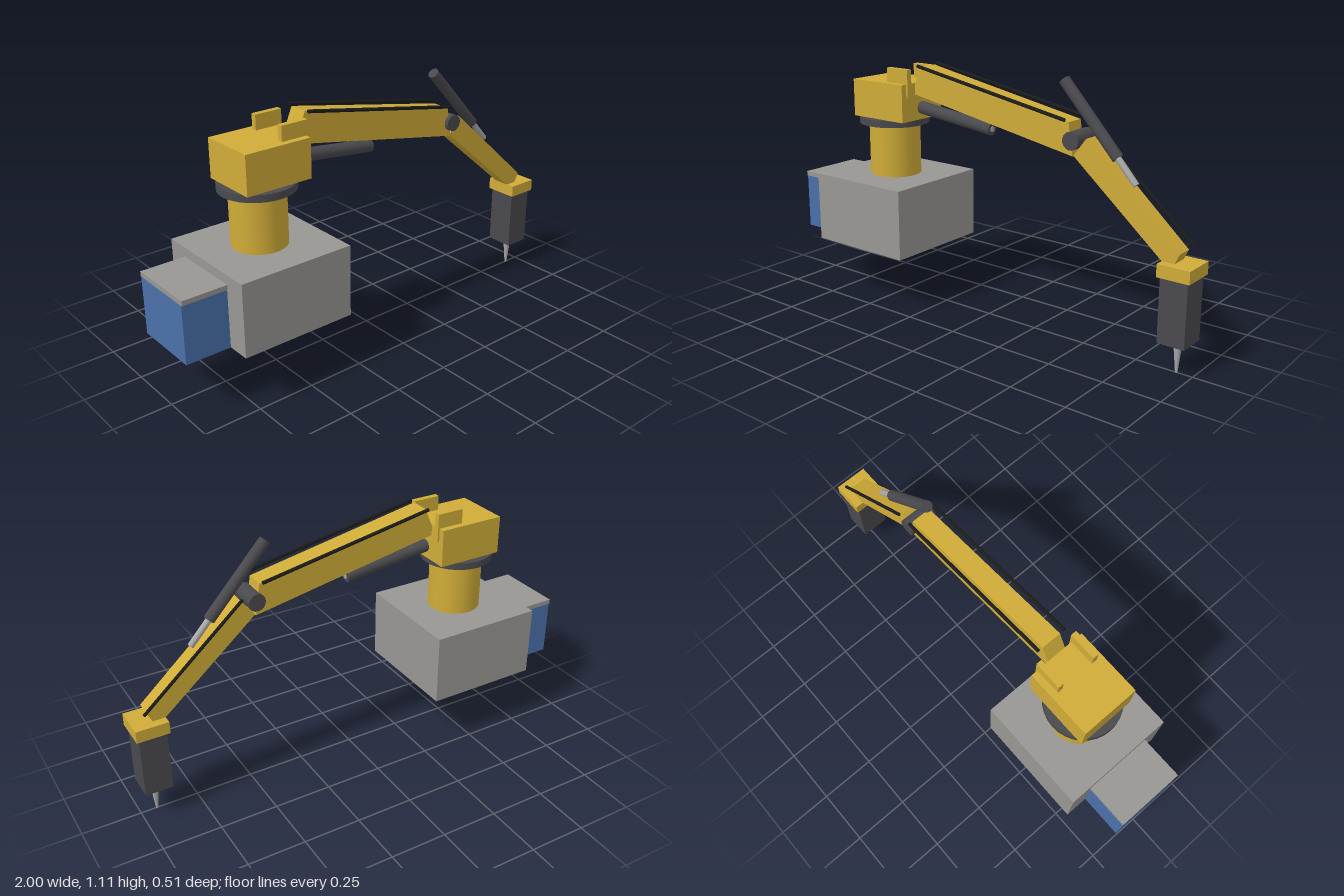
import * as THREE from 'three';

const paint = (name, color) => {
  const m = new THREE.MeshStandardMaterial({ color });
  m.name = name;
  return m;
};

export function createModel() {
  const yellow = paint('yellow', 0xd0ac38);
  const grey = paint('grey', 0x999794);
  const blue = paint('blue', 0x4a70aa);
  const dark = paint('dark grey', 0x4a494d);
  const black = paint('black', 0x1b1b1c);
  const steel = paint('steel', 0xa8a8a8);

  const model = new THREE.Group();
  const add = (name, geometry, material) => {
    const mesh = new THREE.Mesh(geometry, material);
    mesh.name = name;
    model.add(mesh);
    return mesh;
  };

  // Box given by its extents
  const box = (name, material, [x0, x1], [y0, y1], [z0, z1]) =>
    add(name, new THREE.BoxGeometry(x1 - x0, y1 - y0, z1 - z0), material)
      .position.set((x0 + x1) / 2, (y0 + y1) / 2, (z0 + z1) / 2);

  // Round bar between two points
  const up = new THREE.Vector3(0, 1, 0);
  const bar = (name, material, from, to, r0, r1 = r0, sides = 24) => {
    const a = new THREE.Vector3(...from), b = new THREE.Vector3(...to);
    const dir = b.clone().sub(a);
    const mesh = add(name, new THREE.CylinderGeometry(r1, r0, dir.length(), sides), material);
    mesh.position.copy(a).add(b).multiplyScalar(0.5);
    mesh.quaternion.setFromUnitVectors(up, dir.normalize());
  };

  // Arm link: side outline extruded across z
  const link = (name, outline, width) => {
    const shape = new THREE.Shape(outline.map(([x, y]) => new THREE.Vector2(x, y)));
    const g = new THREE.ExtrudeGeometry(shape, { depth: width, bevelEnabled: false });
    add(name, g.translate(0, 0, -width / 2), yellow);
  };

  // Base and side cabinet
  box('base', grey, [-0.805, -0.297], [0.255, 0.568], [-0.254, 0.254]);
  box('cabinet', blue, [-1, -0.805], [0.255, 0.506], [-0.15, 0.15]);
  box('cabinetLid', grey, [-1, -0.805], [0.506, 0.527], [-0.154, 0.154]);

  // Slewing column and turret
  bar('column', yellow, [-0.552, 0.568, 0], [-0.552, 0.805, 0], 0.116);
  bar('slewRing', dark, [-0.552, 0.805, 0], [-0.552, 0.836, 0], 0.159, 0.159, 32);
  box('turret', yellow, [-0.68, -0.383], [0.836, 1.003], [-0.127, 0.127]);
  for (const s of [-1, 1])
    box('shoulderLug', yellow, [-0.497, -0.375], [0.942, 1.067],
      [s * 0.0865 - 0.0125, s * 0.0865 + 0.0125]);

  // Boom, elbow and forearm
  link('boom', [[-0.4, 0.956], [0.452, 0.798], [0.43, 0.932], [-0.346, 1.079]], 0.086);
  bar('elbowPin', dark, [0.452, 0.862, -0.063], [0.452, 0.862, 0.063], 0.037);
  link('forearm', [[0.452, 0.8], [0.9, 0.42], [0.935, 0.495], [0.51, 0.876]], 0.074);

  // Boom lift cylinder
  bar('liftCylinder', dark, [-0.45, 0.897, 0], [0.017, 0.842, 0], 0.028);
  bar('liftRod', steel, [0, 0.844, 0], [0.02, 0.8416, 0], 0.012);

  // Forearm cylinder
  bar('forearmCylinder', dark, [0.377, 1.089, 0], [0.633, 0.81, 0], 0.024);
  bar('forearmRod', steel, [0.625, 0.819, 0], [0.718, 0.716, 0], 0.0135);

  // Hoses along both links
  for (const z of [-0.064, 0.064])
    bar('boomHose', black, [-0.346, 1.083, z], [0.426, 0.943, z], 0.0075, 0.0075, 10);
  bar('forearmHose', black, [0.51, 0.888, -0.054], [0.952, 0.501, -0.054], 0.007, 0.007, 10);

  // Tool head
  box('headPlate', yellow, [0.861, 1], [0.4, 0.453], [-0.075, 0.075]);
  box('toolBody', dark, [0.871, 0.988], [0.13, 0.4], [-0.063, 0.063]);
  bar('toolTip', steel, [0.93, 0, 0], [0.93, 0.13, 0], 0.005, 0.018);

  return model;
}
